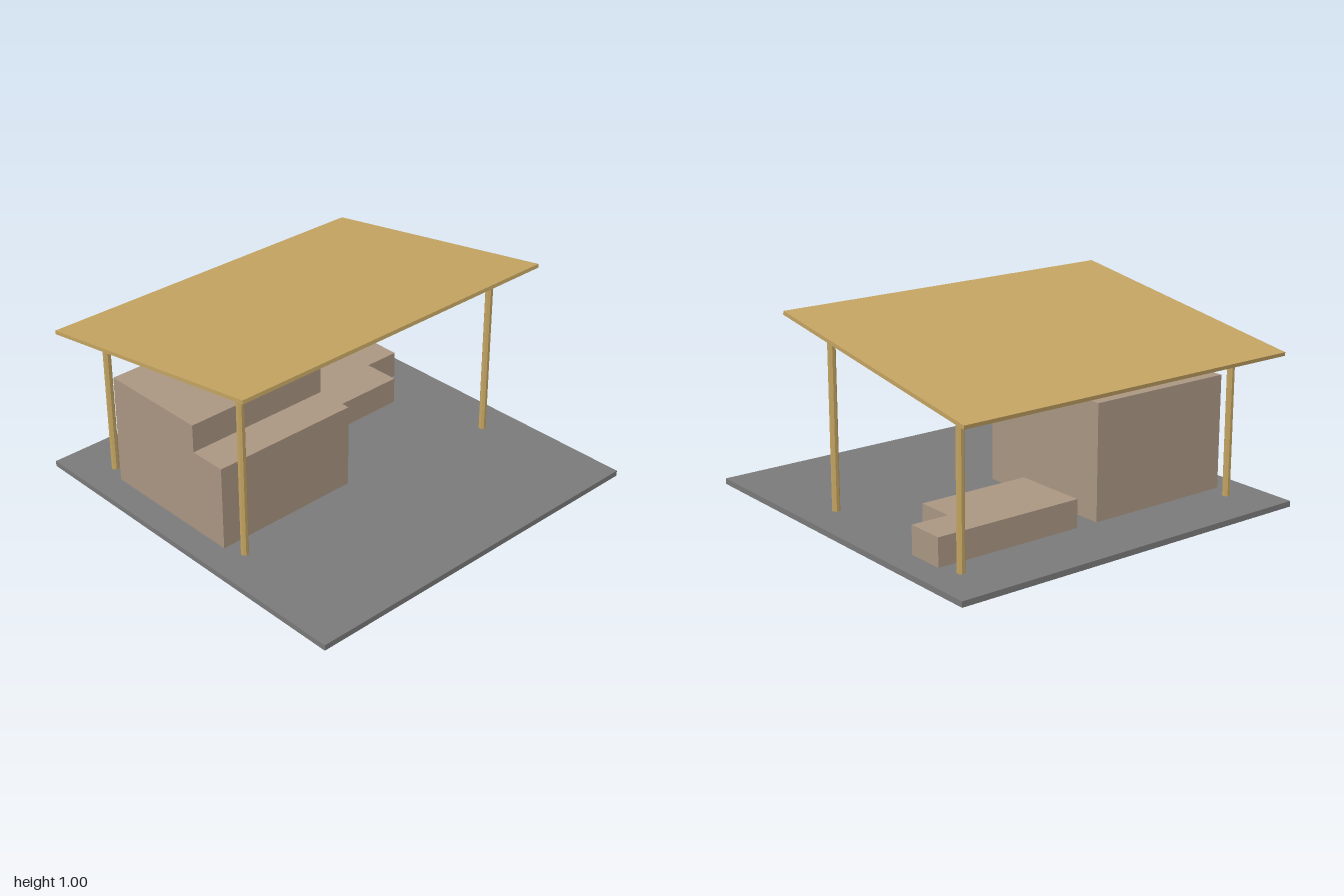
import * as THREE from 'three';

export function createModel() {
  const model = new THREE.Group();
  model.name = 'storageShelter';

  const mat = (name, color) => {
    const m = new THREE.MeshStandardMaterial({ color });
    m.name = name;
    return m;
  };
  const slabGrey = mat('slabGrey', 0x7a7a7a);
  const timber = mat('timber', 0xc4a462);
  const cardboard = mat('cardboard', 0xaa9682);
  const FLOOR = 0.03;

  const add = (parent, name, geometry, material, x, y, z) => {
    const mesh = new THREE.Mesh(geometry, material);
    mesh.name = name;
    mesh.position.set(x, y, z);
    parent.add(mesh);
    return mesh;
  };

  // Ground slab
  add(model, 'slab', new THREE.BoxGeometry(2, FLOOR - 0.001, 2), slabGrey, 0, (FLOOR + 0.001) / 2, 0);

  // Sloping roof sheet, high on the +x side
  const roof = add(model, 'roof', new THREE.BoxGeometry(1.422, 0.019, 1.91), timber, -0.258, 0.88, 0);
  roof.rotation.z = 0.155;

  // Octagonal posts, short pair and tall pair
  const posts = new THREE.Group();
  posts.name = 'posts';
  model.add(posts);
  for (const [x, height] of [[-0.745, 0.797], [0.255, 0.952]]) {
    for (const z of [-0.815, 0.815]) {
      const geometry = new THREE.CylinderGeometry(0.02, 0.02, height, 8).toNonIndexed();
      geometry.rotateY(Math.PI / 8);
      geometry.computeVertexNormals();
      add(posts, 'post', geometry, timber, x, height / 2, z);
    }
  }

  // Boxes stacked on a grid of shared edges
  const xEdges = [-0.64, -0.44, -0.243, -0.04, 0.158];
  const zEdges = [0.06, 0.255, 0.463, 0.66, 0.86];
  const addBox = (parent, column, row, side, top) => {
    const [x0, x1] = [xEdges[column], xEdges[column + 1]];
    const [z0, z1] = [zEdges[row], zEdges[row + 1]];
    const geometry = new THREE.BoxGeometry(x1 - x0, top - FLOOR, z1 - z0);
    add(parent, 'box', geometry, cardboard, (x0 + x1) / 2, (top + FLOOR) / 2, side * (z0 + z1) / 2);
  };

  const frontPile = new THREE.Group();
  frontPile.name = 'frontPile';
  const backPile = new THREE.Group();
  backPile.name = 'backPile';
  model.add(frontPile, backPile);
  for (let row = 0; row < 4; row++) {
    // Three tall columns and one lower one
    for (let column = 0; column < 4; column++) {
      addBox(frontPile, column, row, 1, column < 3 ? 0.615 : 0.47);
    }
    // Low pile, two wide with a single box at the back
    for (let column = 0; column < (row < 3 ? 2 : 1); column++) {
      addBox(backPile, column, row, -1, 0.173);
    }
  }

  return model;
}
